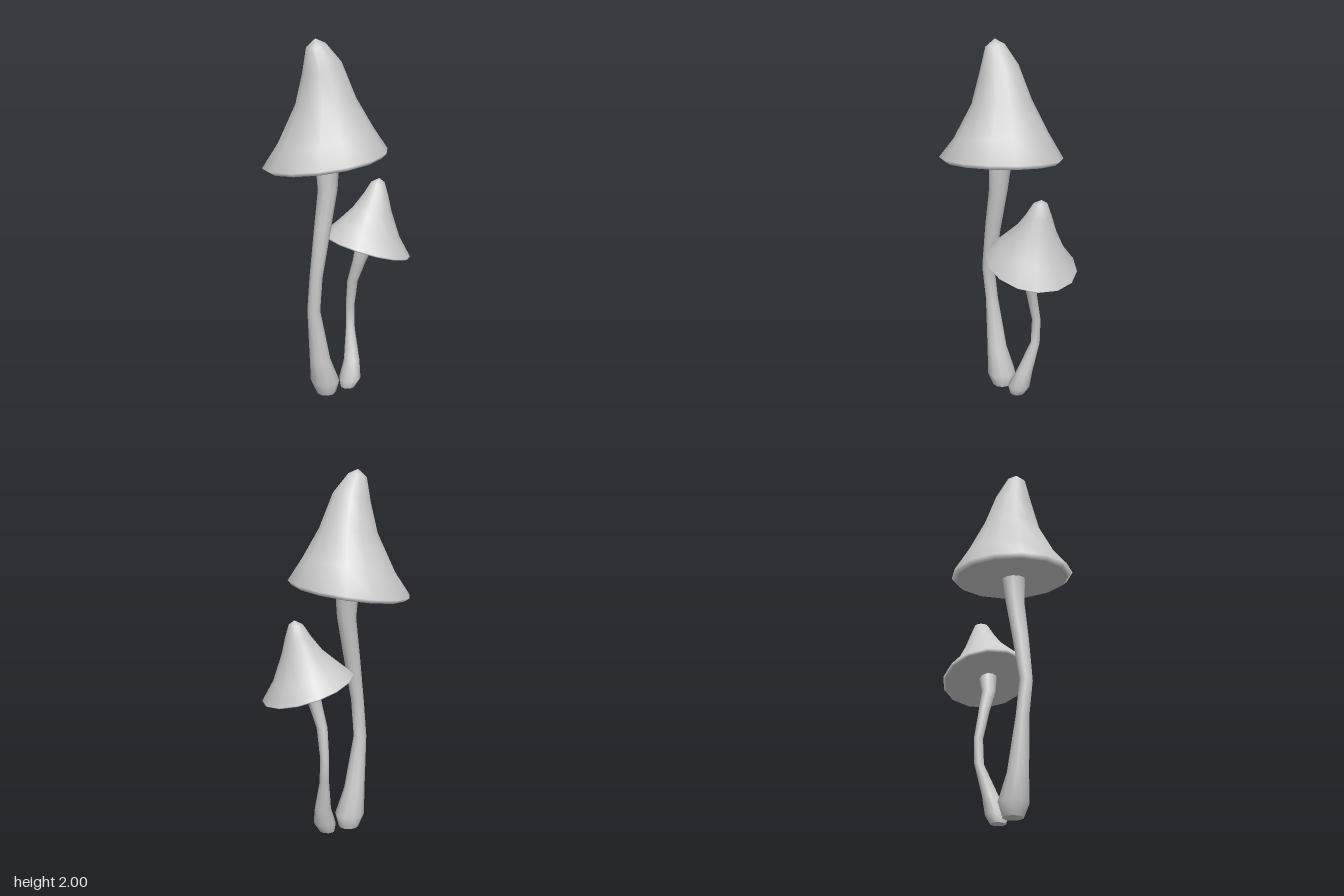
import * as THREE from 'three';
import { mergeVertices } from 'three/addons/utils/BufferGeometryUtils.js';

const material = new THREE.MeshStandardMaterial({ color: 0xcccccc });

// Skin a stack of rings, each [x, y, z, radius, rise per x, rise per z], listed bottom to top.
function loft(name, rings, sides, phase = 0) {
  const positions = [], index = [];
  for (const [x, y, z, r, sx = 0, sz = 0] of rings) {
    for (let j = 0; j < sides; j++) {
      const t = phase + (j / sides) * Math.PI * 2;
      const dx = r * Math.cos(t), dz = -r * Math.sin(t);
      positions.push(x + dx, y + sx * dx + sz * dz, z + dz);
    }
  }
  for (let i = 0; i < rings.length - 1; i++) {
    for (let j = 0; j < sides; j++) {
      const a = i * sides + j, b = i * sides + (j + 1) % sides;
      if (rings[i][3] > 0) index.push(a, b, a + sides);
      if (rings[i + 1][3] > 0) index.push(b, b + sides, a + sides);
      else if (rings[i][3] === 0) continue;
    }
  }
  let geometry = new THREE.BufferGeometry();
  geometry.setAttribute('position', new THREE.Float32BufferAttribute(positions, 3));
  geometry.setIndex(index);
  geometry = mergeVertices(geometry, 1e-5);
  geometry.computeVertexNormals();
  const mesh = new THREE.Mesh(geometry, material);
  mesh.name = name;
  return mesh;
}

function mushroom(name, { stem, cap, lip, hollow, phase }) {
  const group = new THREE.Group();
  group.name = name;
  const [x, y, z, , sx, sz] = lip;
  const [bx, by, bz, br] = stem[0];
  group.add(
    loft('stem', stem, 10),
    loft('stemBase', [[bx, by, bz, 0], [bx, by, bz, br]], 10),
    loft('cap', [lip, ...cap], 14, phase),
    // underside, from its middle out to the lip
    loft('capUnderside', [[x, y + hollow, z, 0, sx, sz], lip], 14, phase),
  );
  return group;
}

export function createModel() {
  const model = new THREE.Group();
  model.name = 'mushrooms';

  model.add(mushroom('tallMushroom', {
    stem: [
      [-0.085, 0, 0, 0.055],
      [-0.092, 0.075, 0, 0.082],
      [-0.127, 0.22, 0.005, 0.058],
      [-0.167, 0.52, 0.01, 0.036],
      [-0.165, 0.72, 0.035, 0.036],
      [-0.122, 0.98, 0.03, 0.046],
      [-0.083, 1.2, 0.022, 0.053],
      [-0.08, 1.36, 0.012, 0.066],
    ],
    lip: [-0.083, 1.345, 0, 0.31, 0.1, 0.1],
    hollow: 0.005,
    cap: [
      [-0.085, 1.368, 0, 0.336, 0.1, 0.1],
      [-0.085, 1.49, 0, 0.255, 0.16, 0.06],
      [-0.08, 1.675, 0, 0.16, 0.1, 0],
      [-0.102, 1.85, 0, 0.103, 0.29, 0],
      [-0.137, 1.965, 0, 0.051, 0.25, 0],
      [-0.14, 2, 0, 0],
    ],
    phase: 0.06,
  }));

  model.add(mushroom('shortMushroom', {
    stem: [
      [0.058, 0, 0, 0.042],
      [0.073, 0.05, 0, 0.062],
      [0.098, 0.15, -0.022, 0.045],
      [0.122, 0.32, -0.078, 0.026],
      [0.123, 0.46, -0.083, 0.025],
      [0.12, 0.62, -0.052, 0.03],
      [0.14, 0.75, -0.012, 0.038],
      [0.17, 0.85, 0, 0.05, -0.31],
    ],
    lip: [0.176, 0.832, 0, 0.235, -0.31, -0.05],
    hollow: 0.003,
    cap: [
      [0.178, 0.842, 0, 0.246, -0.31, -0.05],
      [0.19, 0.93, 0, 0.175, -0.3, -0.02],
      [0.211, 1.04, 0, 0.11, -0.1, 0],
      [0.236, 1.125, 0, 0.069, -0.05, 0],
      [0.249, 1.192, 0, 0.038, 0, 0],
      [0.258, 1.215, 0, 0],
    ],
    phase: -0.08,
  }));

  return model;
}
